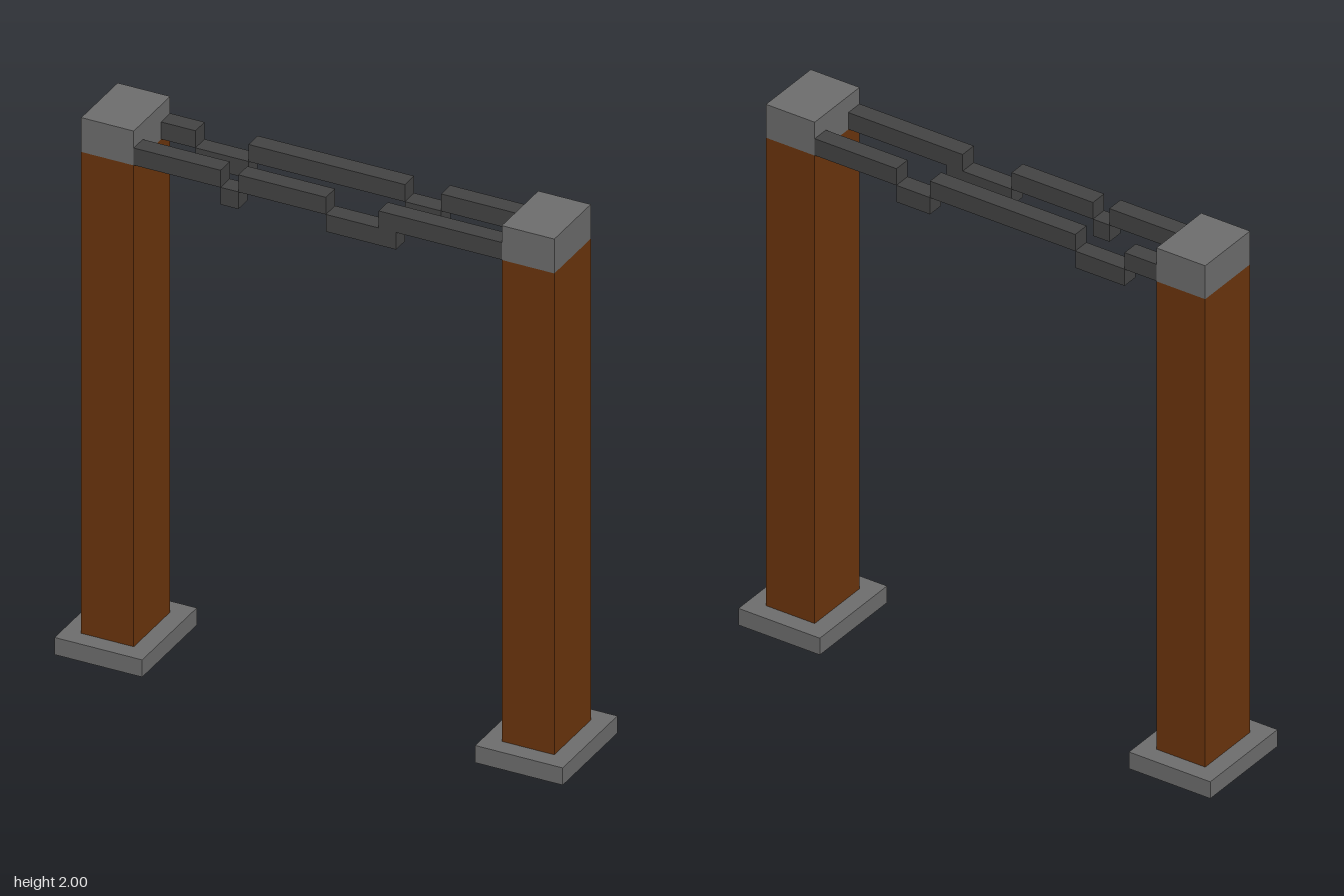
import * as THREE from 'three';

const stone = new THREE.MeshStandardMaterial({ name: 'grey stone', color: 0x6e6e6e });
const wood = new THREE.MeshStandardMaterial({ name: 'brown wood', color: 0x6c350d });
const iron = new THREE.MeshStandardMaterial({ name: 'dark iron', color: 0x444444 });

// Box given by its lower and upper corners
function box(name, material, [x0, y0, z0], [x1, y1, z1]) {
  const mesh = new THREE.Mesh(new THREE.BoxGeometry(x1 - x0, y1 - y0, z1 - z0), material);
  mesh.position.set((x0 + x1) / 2, (y0 + y1) / 2, (z0 + z1) / 2);
  mesh.name = name;
  return mesh;
}

// Corners of a centred rectangle
function rectangle(w, d) {
  return [[-w, -d], [w, -d], [w, d], [-w, d]].map(([x, y]) => new THREE.Vector2(x / 2, y / 2));
}

// Post with a square collar round its foot and a cap on top
function createPost(name) {
  const post = new THREE.Group();
  post.name = name;
  post.add(box('postShaft', wood, [-0.0965, 0, -0.129], [0.0965, 1.871, 0.129]));
  post.add(box('postCap', stone, [-0.0965, 1.871, -0.129], [0.0965, 2, 0.129]));

  const outline = new THREE.Shape(rectangle(0.322, 0.387));
  outline.holes.push(new THREE.Path(rectangle(0.193, 0.258).reverse()));
  const collar = new THREE.ExtrudeGeometry(outline, { depth: 0.0645, bevelEnabled: false });
  collar.rotateX(-Math.PI / 2);
  const base = new THREE.Mesh(collar, stone);
  base.name = 'postBase';
  post.add(base);
  return post;
}

// Chain of links, alternating between a high and a low row
function createChain(name, z0, high, low) {
  const chain = new THREE.Group();
  chain.name = name;
  for (const [row, y0, label] of [[high, 1.872, 'highLink'], [low, 1.808, 'lowLink']]) {
    for (const [x0, x1] of row) {
      chain.add(box(label, iron, [x0, y0, z0], [x1, y0 + 0.0645, z0 + 0.0645]));
    }
  }
  return chain;
}

export function createModel() {
  const model = new THREE.Group();
  model.name = 'chainGate';

  for (const [name, side] of [['leftPost', 1], ['rightPost', -1]]) {
    const post = createPost(name);
    post.position.x = side * 0.773;
    model.add(post);
  }

  model.add(createChain('frontChain', 0.0645,
    [[-0.677, -0.357], [-0.292, 0.03], [0.224, 0.677]],
    [[-0.357, -0.292], [0.03, 0.288]]));
  model.add(createChain('backChain', -0.129,
    [[-0.677, -0.55], [-0.355, 0.22], [0.353, 0.677]],
    [[-0.55, -0.355], [0.22, 0.353]]));
  return model;
}
